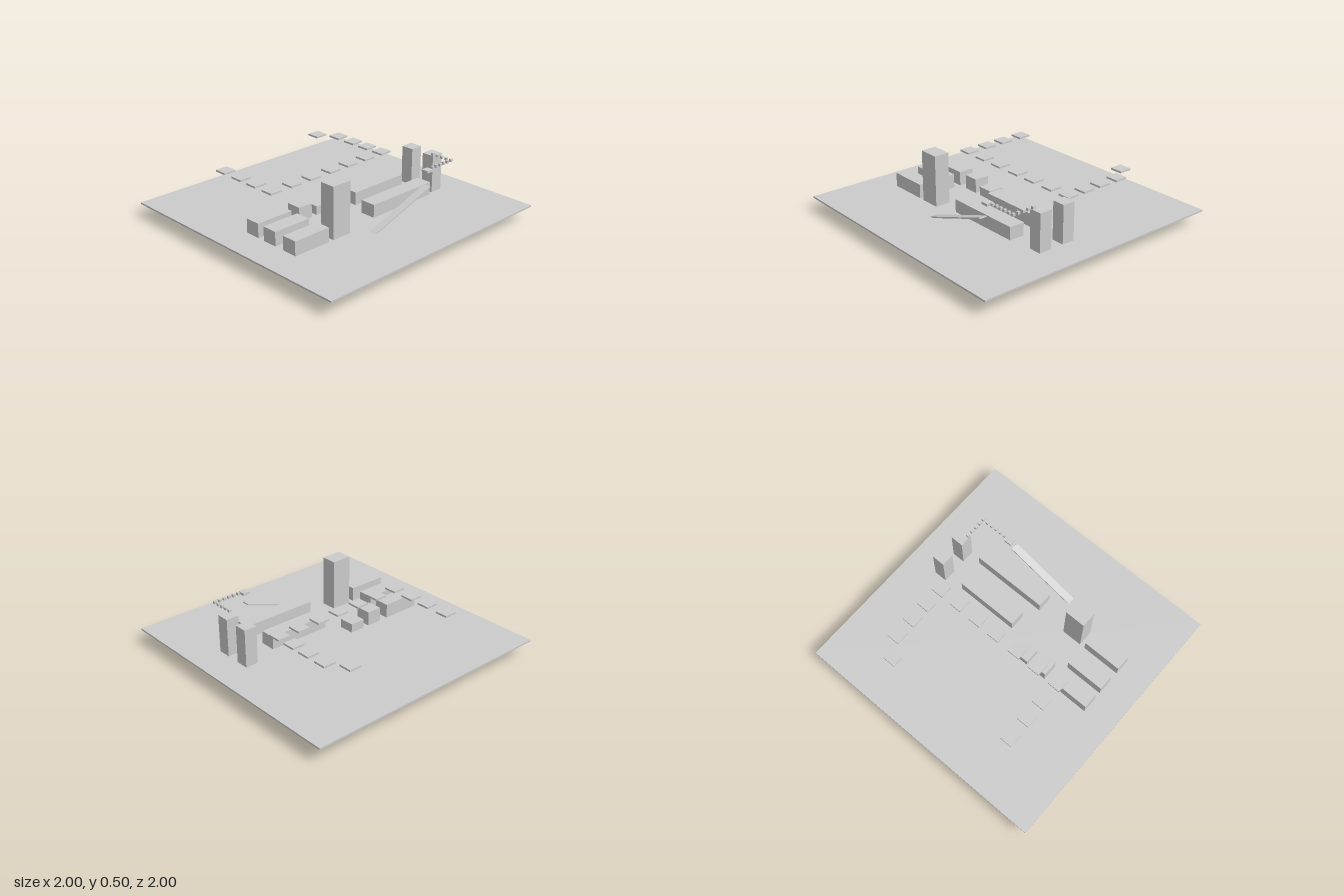
import * as THREE from 'three';

export function createModel() {
  const model = new THREE.Group();
  const grey = new THREE.MeshStandardMaterial({ color: 0xcccccc, flatShading: true });

  // Box given by its centre in plan, its bottom and top, and its plan size
  function block(name, x, z, y0, y1, w, d) {
    const mesh = new THREE.Mesh(new THREE.BoxGeometry(w, y1 - y0, d), grey);
    mesh.position.set(x, (y0 + y1) / 2, z);
    mesh.name = name;
    model.add(mesh);
    return mesh;
  }

  const floor = 0.113;
  block('groundPlate', 0, 0, 0.1, floor, 2, 2);

  // Tall tower that passes down through the plate
  block('mainTower', -0.345, 0.361, 0, 0.5, 0.157, 0.118);

  // Three low blocks along the left edge of the course
  for (const z of [-0.01, 0.165, 0.361]) block('lowBlock', -0.615, z, 0.105, 0.22, 0.3, 0.118);

  // Two stepping blocks
  block('stepBlock', -0.336, -0.01, 0.105, 0.22, 0.118, 0.118);
  block('stepBlock', -0.171, -0.01, 0.105, 0.18, 0.118, 0.118);

  // Long beams raised above the plate
  block('backBeam', 0.268, 0.122, 0.153, 0.25, 0.485, 0.118);
  block('frontBeam', 0.257, 0.361, 0.153, 0.25, 0.587, 0.118);

  // Twin pillars
  for (const z of [0.093, 0.296]) block('pillar', 0.711, z, 0.105, 0.4, 0.099, 0.099);

  // Thin sloping ramp, its foot sunk in the plate
  const ramp = block('ramp', 0.113, 0.524, 0.196, 0.206, 0.6, 0.058);
  ramp.rotation.z = 0.329;

  // Floating tiles: a row with a column at each end
  const tiles = [-0.6, -0.42, -0.26].map((z) => [-0.522, z]);
  for (const x of [-0.522, -0.337, -0.155, 0.037, 0.214, 0.394, 0.567]) tiles.push([x, -0.088]);
  for (const z of [-0.238, -0.39, -0.553]) tiles.push([0.567, z]);
  tiles.push([0.473, -0.695]);
  for (const [x, z] of tiles) block('floatingTile', x, z, 0.337, 0.351, 0.099, 0.099);

  // Small landing and an L-shaped trail of tiny cubes
  block('landing', 0.418, 0.502, 0.393, 0.411, 0.057, 0.055);
  for (let i = 0; i < 6; i++) block('trailCube', 0.473 + i * 0.0404, 0.502, 0.4, 0.42, 0.02, 0.02);
  for (let i = 1; i < 5; i++) block('trailCube', 0.675, 0.502 - i * 0.0425, 0.4, 0.42, 0.02, 0.02);

  return model;
}
